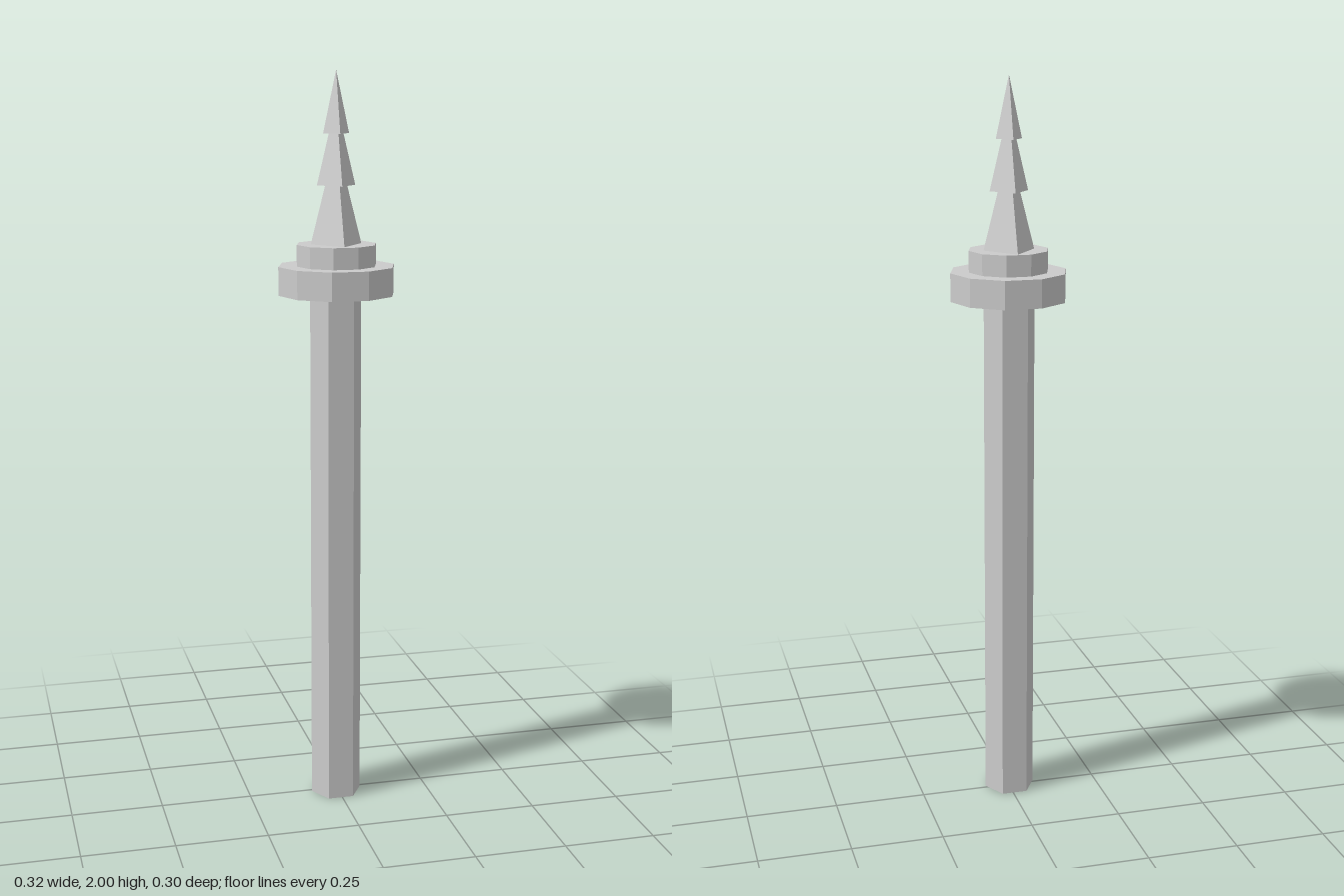
import * as THREE from 'three';

const material = new THREE.MeshStandardMaterial({ color: 0xcccccc, flatShading: true });

// Straight faceted piece with corners pointing along +x and -x
function prism(name, radius, bottom, top, sides, x = 0, z = 0) {
  const geometry = new THREE.CylinderGeometry(radius, radius, top - bottom, sides, 1, false, Math.PI / 2);
  const mesh = new THREE.Mesh(geometry, material);
  mesh.name = name;
  mesh.position.set(x, (bottom + top) / 2, z);
  return mesh;
}

// Diamond-section pyramid, wider along z than along x
function spike(name, halfX, halfZ, bottom, top) {
  const geometry = new THREE.ConeGeometry(1, top - bottom, 4);
  geometry.scale(halfX, 1, halfZ);
  const mesh = new THREE.Mesh(geometry, material);
  mesh.name = name;
  mesh.position.set(0, (bottom + top) / 2, -0.004);
  return mesh;
}

export function createModel() {
  const model = new THREE.Group();
  model.name = 'spikedStaff';

  // Six-sided shaft, slightly off the collar's axis
  model.add(prism('shaft', 0.07, 0, 1.42, 6, -0.004, 0.008));

  // Two stepped ten-sided collars
  model.add(prism('lowerCollar', 0.158, 1.417, 1.493, 10));
  model.add(prism('upperCollar', 0.108, 1.493, 1.55, 10));

  // Three nested pyramids form the barbed tip
  const tip = new THREE.Group();
  tip.name = 'barbedTip';
  tip.add(spike('lowerBarb', 0.069, 0.09, 1.55, 1.82));
  tip.add(spike('middleBarb', 0.052, 0.067, 1.704, 1.92));
  tip.add(spike('point', 0.035, 0.045, 1.838, 2));
  model.add(tip);

  return model;
}
